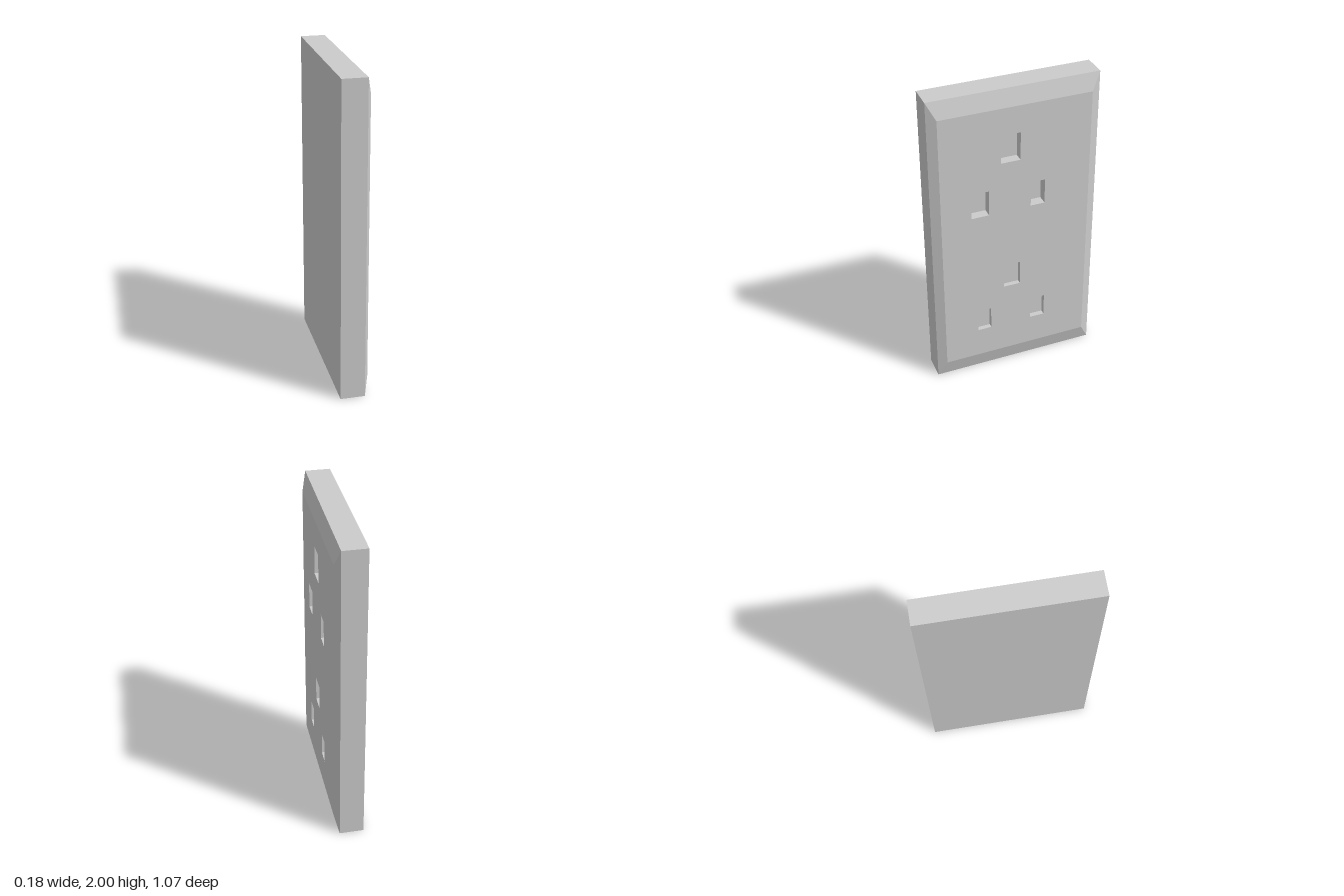
import * as THREE from 'three';

const FACE = 0.09; // depth of the raised front face

// Rectangle outline, counter-clockwise seen from the face side
const rect = (u0, u1, y0, y1) => [[u0, y0], [u1, y0], [u1, y1], [u0, y1]];

// Walls between successive outlines [corners, depth], plus a cap on one end
function loft(rings, capFirst) {
  const pos = [];
  const quad = (a, b, c, d) => pos.push(...a, ...b, ...c, ...a, ...c, ...d);
  const pts = rings.map(([corners, z]) => corners.map(([u, y]) => [u, y, z]));
  for (let r = 0; r + 1 < pts.length; r++) {
    for (let i = 0; i < 4; i++) {
      const j = (i + 1) % 4;
      quad(pts[r][i], pts[r][j], pts[r + 1][j], pts[r + 1][i]);
    }
  }
  if (capFirst) quad(...[...pts[0]].reverse());
  else quad(...pts[pts.length - 1]);
  const g = new THREE.BufferGeometry();
  g.setAttribute('position', new THREE.Float32BufferAttribute(pos, 3));
  g.computeVertexNormals();
  return g;
}

export function createModel() {
  const group = new THREE.Group();
  group.name = 'socketPlate';
  const material = new THREE.MeshStandardMaterial({ color: 0xcccccc, flatShading: true });
  // Parts are drawn facing +z, then turned so the face looks toward +x
  const add = (geometry, name) => {
    const mesh = new THREE.Mesh(geometry.rotateY(Math.PI / 2), material);
    mesh.name = name;
    group.add(mesh);
  };

  // Plate body: straight sides, then a bevel up to the face
  const outer = rect(-0.533, 0.533, 0, 2);
  const inner = rect(-0.477, 0.477, 0.11, 1.89);
  add(loft([[outer, -0.092], [outer, 0.061], [inner, FACE]], true), 'plateBody');

  // Pin slots: u range, y range, depth
  const slots = [
    ['upperEarthSlot', -0.095, 0.027, 1.53, 1.714, 0.06],
    ['upperLeftSlot', -0.287, -0.175, 1.187, 1.356, 0.06],
    ['upperRightSlot', 0.095, 0.186, 1.19, 1.356, 0.065],
    ['lowerEarthSlot', -0.08, 0.027, 0.618, 0.783, 0.03],
    ['lowerLeftSlot', -0.26, -0.17, 0.315, 0.47, 0.03],
    ['lowerRightSlot', 0.10, 0.196, 0.315, 0.467, 0.033],
  ];

  // Face panel pierced by the slots
  const toVectors = (corners) => corners.map(([u, y]) => new THREE.Vector2(u, y));
  const face = new THREE.Shape(toVectors(inner));
  for (const [name, u0, u1, y0, y1, depth] of slots) {
    const outline = rect(u0, u1, y0, y1);
    face.holes.push(new THREE.Path(toVectors(outline).reverse()));
    // Recess walls and floor
    add(loft([[outline, FACE], [outline, FACE - depth]], false), name);
  }
  add(new THREE.ShapeGeometry(face).translate(0, 0, FACE), 'facePanel');

  return group;
}
